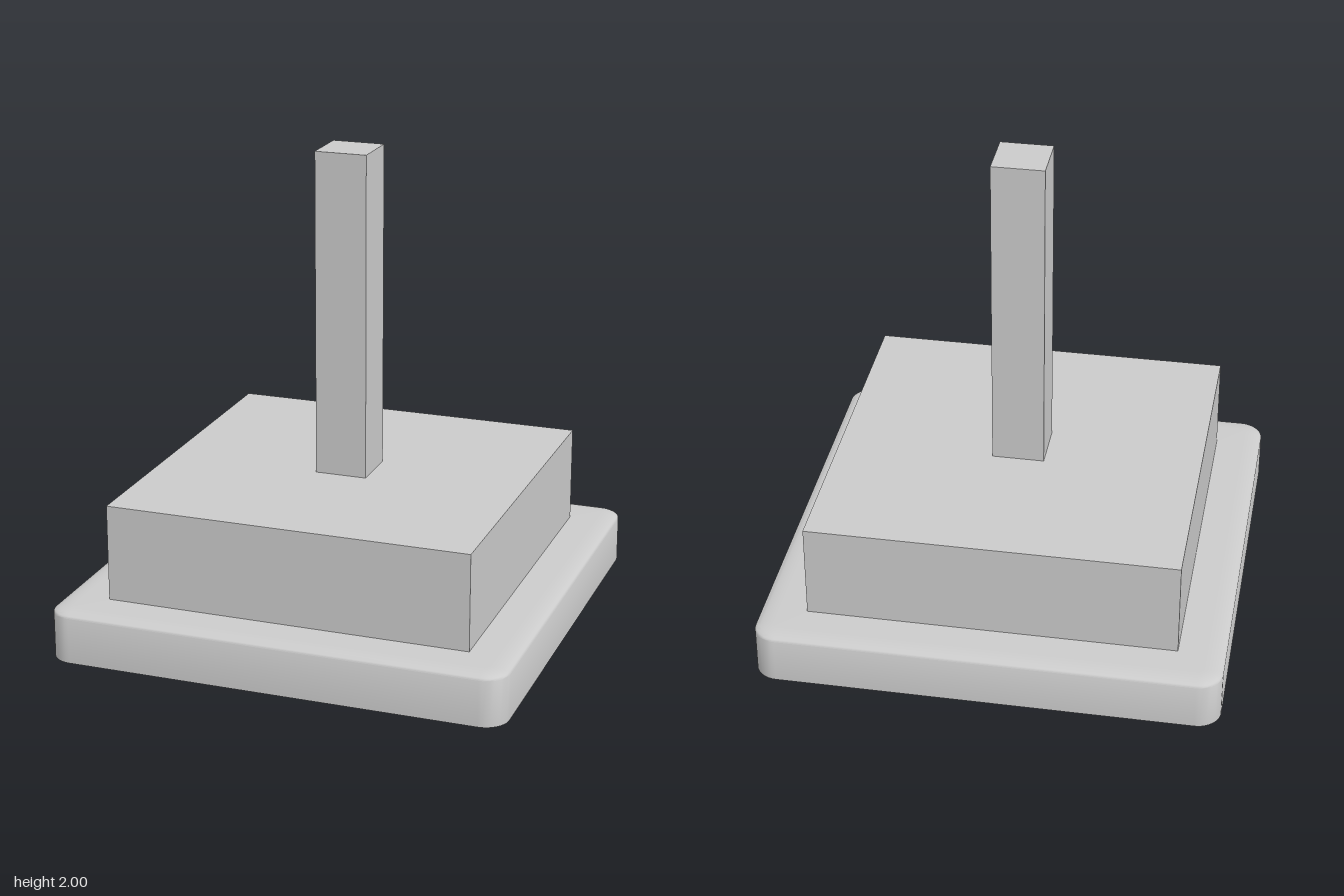
import * as THREE from 'three';
import { toCreasedNormals } from 'three/addons/utils/BufferGeometryUtils.js';

const material = new THREE.MeshStandardMaterial({ color: 0xcccccc });

function addBox(group, name, width, bottom, top) {
  const mesh = new THREE.Mesh(new THREE.BoxGeometry(width, top - bottom, width), material);
  mesh.name = name;
  mesh.position.y = (bottom + top) / 2;
  group.add(mesh);
}

// Square slab with rounded corners and a soft, shallow rounding of the top edge
function slabGeometry(half, height, radius, bevelWidth, bevelHeight) {
  const cornerSteps = 10, bevelSteps = 8;
  const rings = [[0, 0]]; // [inset, y]
  for (let i = 0; i <= bevelSteps; i++) {
    const t = (i / bevelSteps) * Math.PI / 2;
    rings.push([bevelWidth * (1 - Math.cos(t)), height - bevelHeight * (1 - Math.sin(t))]);
  }
  const positions = [], index = [];
  for (const [inset, y] of rings) {
    for (let corner = 0; corner < 4; corner++) {
      const mid = (corner + 0.5) * Math.PI / 2;
      const cx = Math.sign(Math.cos(mid)) * (half - radius);
      const cz = Math.sign(Math.sin(mid)) * (half - radius);
      for (let s = 0; s <= cornerSteps; s++) {
        const a = (corner + s / cornerSteps) * Math.PI / 2;
        positions.push(cx + (radius - inset) * Math.cos(a), y, cz + (radius - inset) * Math.sin(a));
      }
    }
  }
  const n = 4 * (cornerSteps + 1);
  const last = (rings.length - 1) * n;
  const bottomCentre = rings.length * n, topCentre = bottomCentre + 1;
  positions.push(0, 0, 0, 0, height, 0);
  for (let j = 0; j < n; j++) {
    const k = (j + 1) % n;
    for (let r = 0; r < last; r += n) {
      index.push(r + j, r + n + j, r + k, r + k, r + n + j, r + n + k);
    }
    index.push(bottomCentre, j, k, topCentre, last + k, last + j);
  }
  const geometry = new THREE.BufferGeometry();
  geometry.setAttribute('position', new THREE.Float32BufferAttribute(positions, 3));
  geometry.setIndex(index);
  return toCreasedNormals(geometry, 0.6);
}

export function createModel() {
  const group = new THREE.Group();
  group.name = 'pedestalWithPost';

  const base = new THREE.Mesh(slabGeometry(0.965, 0.217, 0.1, 0.085, 0.022), material);
  base.name = 'roundedBase';
  group.add(base);

  addBox(group, 'plinth', 1.54, 0.217, 0.625);
  addBox(group, 'post', 0.22, 0.625, 2);
  return group;
}
